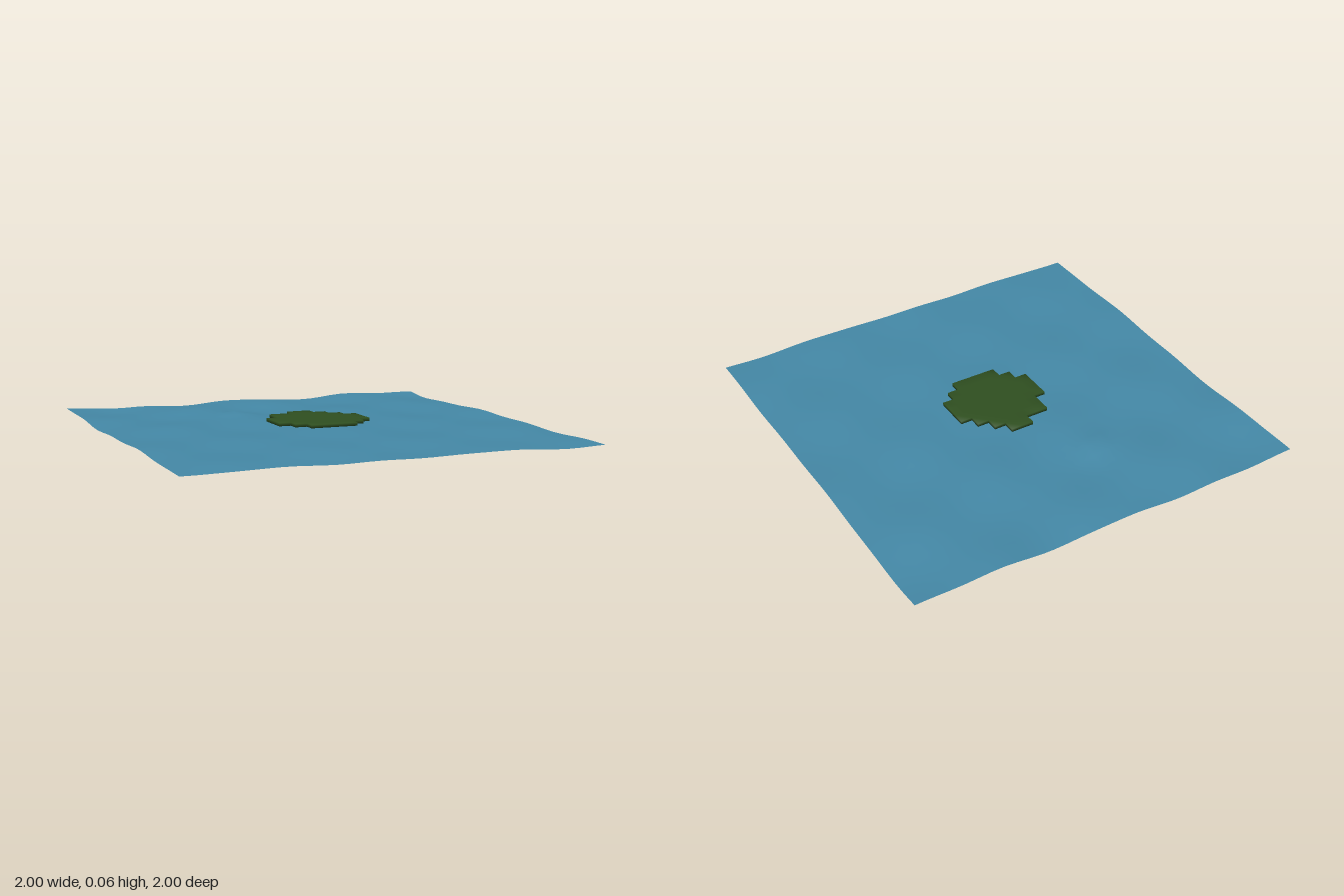
import * as THREE from 'three';
import { mergeVertices } from 'three/addons/utils/BufferGeometryUtils.js';

// Height of the rippled water surface
function waterHeight(x, z) {
  const swell = Math.sin(7 * x + 4.5 * z + 0.6) + 0.8 * Math.sin(11 * x - 6 * z + 2)
    + 0.6 * Math.sin(3.5 * x + 13 * z) + 0.4 * Math.sin(17 * x + 9 * z + 1);
  const amplitude = 0.0045 - 0.0015 * z; // calmer towards the front
  const crest = 0.022 * Math.exp(-((x + 0.23) ** 2 + (z + 0.5) ** 2) / 0.007);
  return Math.max(0.002, 0.019 - 0.003 * z + amplitude * swell + crest);
}

function createWater(material) {
  const geometry = new THREE.PlaneGeometry(2, 2, 32, 32);
  geometry.rotateX(-Math.PI / 2);
  const p = geometry.attributes.position;
  for (let i = 0; i < p.count; i++) p.setY(i, waterHeight(p.getX(i), p.getZ(i)));
  geometry.computeVertexNormals();
  const mesh = new THREE.Mesh(geometry, material);
  mesh.name = 'waterSurface';
  return mesh;
}

// Stepped pad made of square cells with shared, softly shaded vertices
function createPad(material) {
  const rows = [[3, 5], [1, 6], [1, 7], [0, 8], [0, 8], [0, 8], [1, 7], [2, 6]];
  const step = 0.0586, bottom = 0.047, top = 0.063;
  const filled = (c, r) => r >= 0 && r < 8 && c >= rows[r][0] && c < rows[r][1];
  const positions = [];
  const quad = (a, b, c, d) => positions.push(...a, ...b, ...c, ...a, ...c, ...d);
  for (let r = 0; r < 8; r++) {
    for (let c = rows[r][0]; c < rows[r][1]; c++) {
      const x0 = (c - 4) * step, x1 = (c - 3) * step;
      const z0 = (r - 4) * step, z1 = (r - 3) * step;
      // Corners in order around the cell, seen from above
      const ring = [[x0, z0], [x0, z1], [x1, z1], [x1, z0]];
      const t = ring.map(([x, z]) => [x, top, z]);
      const b = ring.map(([x, z]) => [x, bottom, z]);
      quad(...t);
      quad(b[3], b[2], b[1], b[0]);
      // Walls only where there is no neighbouring cell
      [[-1, 0], [0, 1], [1, 0], [0, -1]].forEach(([dc, dr], i) => {
        const j = (i + 1) % 4;
        if (!filled(c + dc, r + dr)) quad(b[i], b[j], t[j], t[i]);
      });
    }
  }
  let geometry = new THREE.BufferGeometry();
  geometry.setAttribute('position', new THREE.Float32BufferAttribute(positions, 3));
  geometry = mergeVertices(geometry, 1e-4);
  geometry.computeVertexNormals();
  const mesh = new THREE.Mesh(geometry, material);
  mesh.name = 'floatingPad';
  return mesh;
}

export function createModel() {
  const water = new THREE.MeshStandardMaterial({ color: 0x4488a6, side: THREE.DoubleSide });
  water.name = 'water blue';
  const leaf = new THREE.MeshStandardMaterial({ color: 0x2f4f20 });
  leaf.name = 'leaf green';

  const group = new THREE.Group();
  group.name = 'padOnWater';
  group.add(createWater(water), createPad(leaf));
  return group;
}
